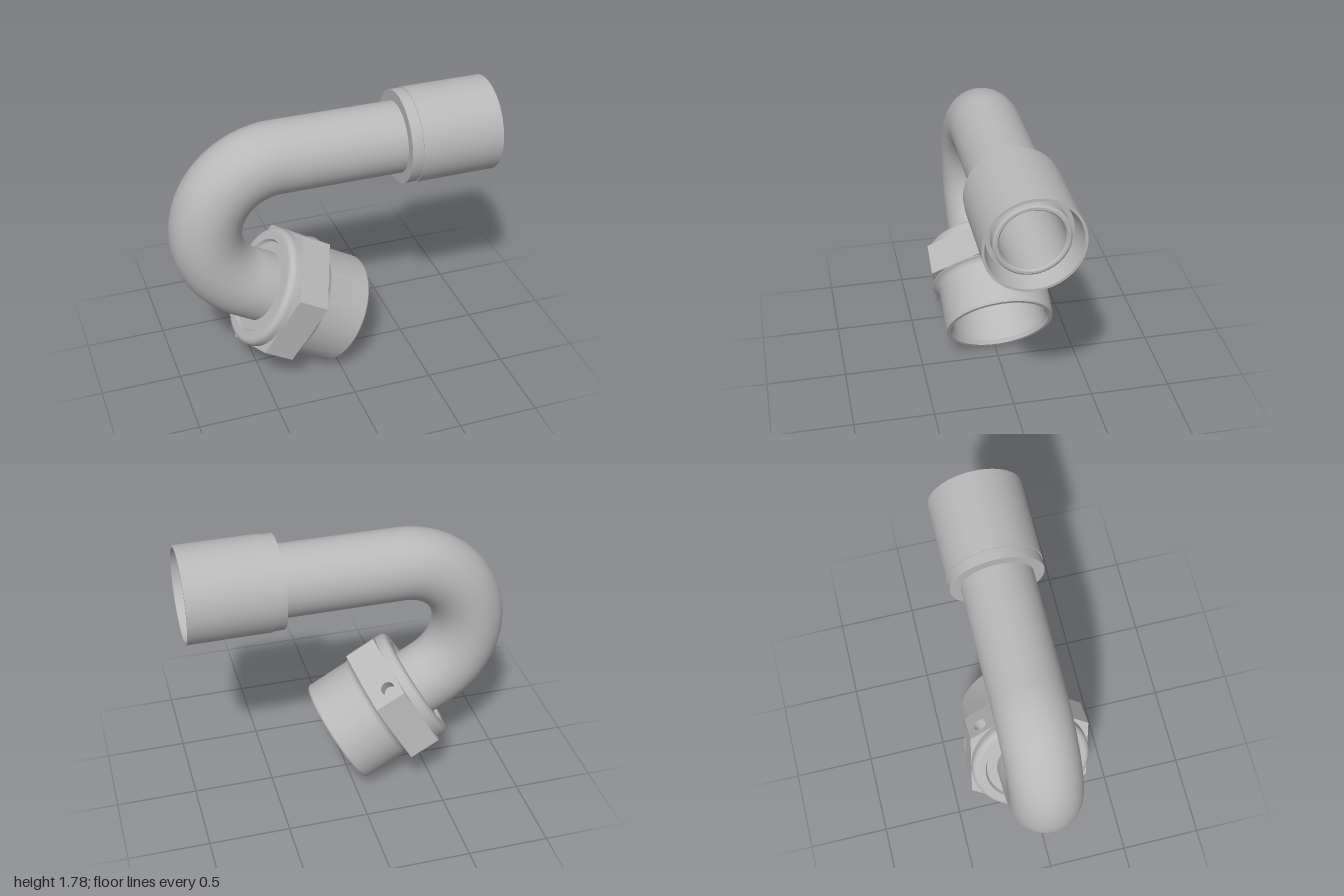
import * as THREE from 'three';
import { toCreasedNormals } from 'three/addons/utils/BufferGeometryUtils.js';

const BEND = { x: -0.33, y: 1.043, r: 0.45, sweep: THREE.MathUtils.degToRad(150) };
const STRAIGHT_END = 0.94;      // x of the tube mouth
const FITTING_LENGTH = 0.707;   // end of the bend to the open end of the fitting
const AXIS = new THREE.Vector3(Math.cos(Math.PI / 6), -0.5, 0);
const FITTING_END = new THREE.Vector3(
  BEND.x + BEND.r * Math.cos(Math.PI / 2 + BEND.sweep),
  BEND.y + BEND.r * Math.sin(Math.PI / 2 + BEND.sweep), 0
).addScaledVector(AXIS, FITTING_LENGTH);

// Straight run, 150 degree bend, short straight run
class HookPath extends THREE.Curve {
  getPoint(t, target = new THREE.Vector3()) {
    const run = STRAIGHT_END - BEND.x, arc = BEND.r * BEND.sweep, tail = FITTING_LENGTH - 0.46;
    const s = t * (run + arc + tail);
    if (s < run) return target.set(STRAIGHT_END - s, BEND.y + BEND.r, 0);
    if (s < run + arc) {
      const a = Math.PI / 2 + (s - run) / BEND.r;
      return target.set(BEND.x + BEND.r * Math.cos(a), BEND.y + BEND.r * Math.sin(a), 0);
    }
    return target.copy(FITTING_END).addScaledVector(AXIS, s - run - arc - FITTING_LENGTH);
  }
}

// Points of a circular arc for a turned profile
function arc(cx, cy, r, from, to, steps = 8) {
  return Array.from({ length: steps + 1 }, (_, i) => {
    const a = THREE.MathUtils.degToRad(from + (to - from) * i / steps);
    return [cx + r * Math.cos(a), cy + r * Math.sin(a)];
  });
}

export function createModel() {
  const model = new THREE.Group();
  model.name = 'pipeFitting';
  const steel = new THREE.MeshStandardMaterial({ color: 0xb8b8b8, side: THREE.DoubleSide });
  steel.name = 'steel grey';

  function add(parent, name, geometry) {
    const mesh = new THREE.Mesh(geometry, steel);
    mesh.name = name;
    parent.add(mesh);
    return mesh;
  }
  function turned(points) {
    const lathe = new THREE.LatheGeometry(points.map(([r, y]) => new THREE.Vector2(r, y)), 72);
    return toCreasedNormals(lathe, 0.4);
  }

  // Bent tube: outer wall and bore
  const path = new HookPath();
  add(model, 'tubeWall', new THREE.TubeGeometry(path, 140, 0.22, 56));
  add(model, 'tubeBore', new THREE.TubeGeometry(path, 140, 0.186, 48));

  // Sleeve on the straight end, turned about x
  const sleeve = new THREE.Group();
  sleeve.name = 'sleeve';
  sleeve.position.y = BEND.y + BEND.r;
  sleeve.rotation.z = -Math.PI / 2;
  model.add(sleeve);
  add(sleeve, 'sleeveShell', turned([
    [0.22, 0.42], [0.286, 0.42], [0.286, 0.49], [0.291, 0.49], [0.291, 1],
    [0.275, 1], [0.248, 0.87], [0.22, 0.87]
  ]));
  add(sleeve, 'tubeMouth', turned([
    [0.22, STRAIGHT_END], [0.208, 0.95], [0.194, 0.95], [0.186, STRAIGHT_END]
  ]));

  // Angled fitting: local y runs along its axis, origin at the open end
  const fitting = new THREE.Group();
  fitting.name = 'threadedFitting';
  fitting.position.copy(FITTING_END);
  fitting.quaternion.setFromRotationMatrix(new THREE.Matrix4().makeBasis(
    new THREE.Vector3(-AXIS.y, AXIS.x, 0), AXIS, new THREE.Vector3(0, 0, -1)));
  model.add(fitting);

  // Rounded collar behind the hexagon
  add(fitting, 'collar', turned([
    [0.22, -0.58], [0.285, -0.58], [0.295, -0.6],
    ...arc(0.338, -0.563, 0.037, -90, 0), [0.375, -0.525]
  ]));

  // Spigot with a fillet at its root, a chamfered mouth, a stepped bore and a conical seat
  add(fitting, 'spigot', turned([
    [0.385, -0.33], ...arc(0.392, -0.28, 0.046, 255, 180), [0.346, -0.01], [0.34, 0],
    [0.318, 0], [0.3, -0.025], [0.275, -0.3], [0.25, -0.3], [0.186, -0.46]
  ]));

  // Hexagon: six flats, one drilled, and two end rings
  const hex = new THREE.Group();
  hex.name = 'hexagon';
  fitting.add(hex);
  const R = 0.433, flat = R * Math.cos(Math.PI / 6), yBack = -0.53, yFront = -0.33;
  const turn = THREE.MathUtils.degToRad(7);
  const hole = { x: -0.129, y: -0.455, r: 0.042, depth: 0.075 };

  for (let i = 0; i < 6; i++) {
    const side = new THREE.Group();
    side.name = 'hexSide';
    side.rotation.y = turn - Math.PI / 6 + i * Math.PI / 3 + Math.PI / 2;
    hex.add(side);
    const face = new THREE.Shape([
      new THREE.Vector2(-R / 2, yBack), new THREE.Vector2(R / 2, yBack),
      new THREE.Vector2(R / 2, yFront), new THREE.Vector2(-R / 2, yFront)
    ]);
    if (i === 0) {
      face.holes.push(new THREE.Path().absarc(hole.x, hole.y, hole.r, 0, Math.PI * 2, true));
      const wall = add(side, 'drilledHoleWall',
        new THREE.CylinderGeometry(hole.r, hole.r, hole.depth, 24, 1, true));
      wall.rotation.x = Math.PI / 2;
      wall.position.set(hole.x, hole.y, flat - hole.depth / 2);
      const floor = add(side, 'drilledHoleFloor', new THREE.CircleGeometry(hole.r, 24));
      floor.position.set(hole.x, hole.y, flat - hole.depth);
    }
    add(side, 'hexFlat', new THREE.ShapeGeometry(face, 24)).position.z = flat;
  }

  const corners = Array.from({ length: 6 }, (_, i) => {
    const a = turn + i * Math.PI / 3;
    return new THREE.Vector2(R * Math.cos(a), R * Math.sin(a));
  });
  const ring = new THREE.Shape(corners);
  ring.holes.push(new THREE.Path().absarc(0, 0, 0.36, 0, Math.PI * 2, true));
  for (const [y, tilt] of [[yFront, -1], [yBack, -1]]) {
    const cap = add(hex, 'hexEnd', new THREE.ShapeGeometry(ring, 48));
    cap.rotation.x = tilt * Math.PI / 2;
    cap.position.y = y;
  }

  return model;
}
